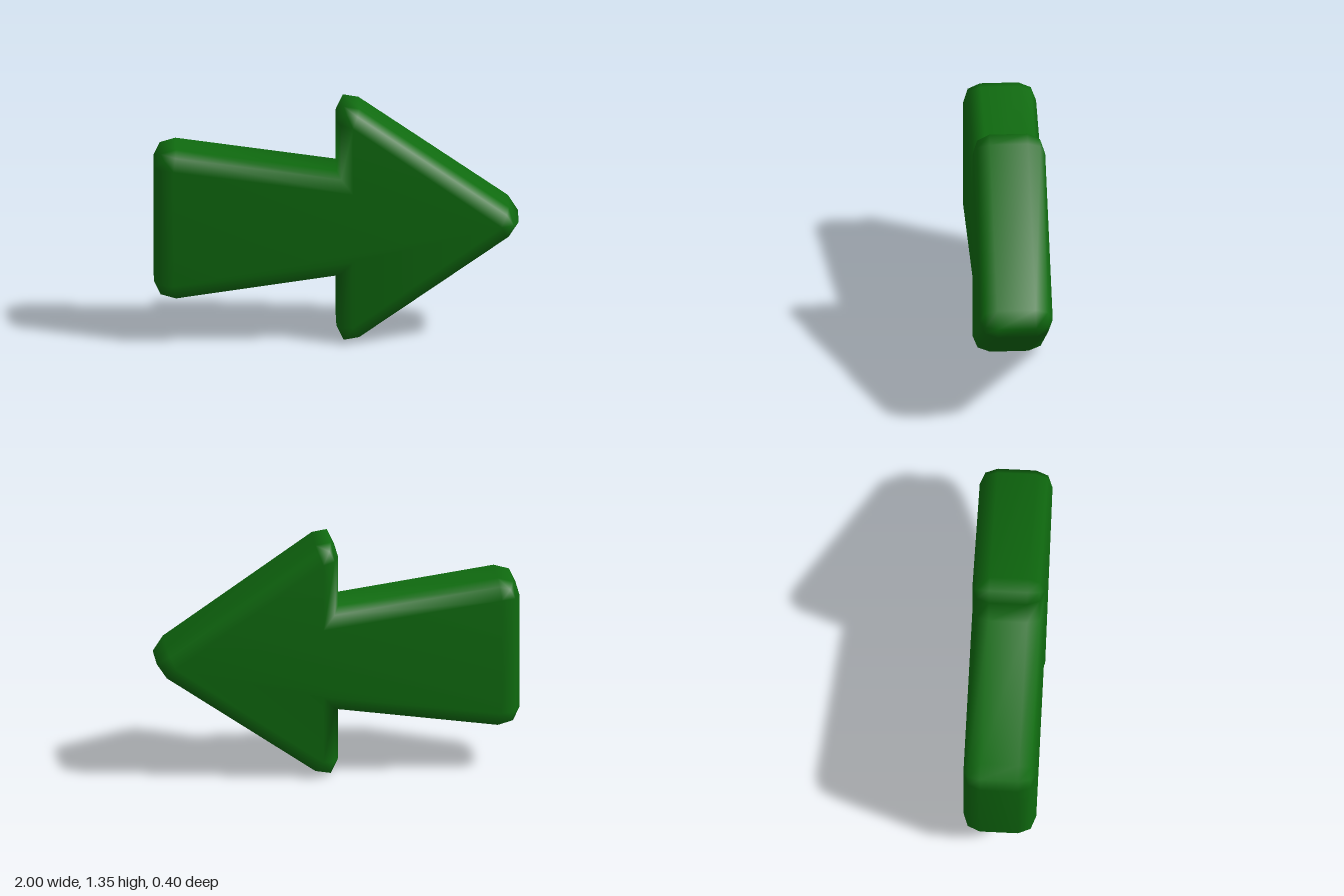
import * as THREE from 'three';

const MID_Y = 0.68;

// Upper half of the outline: flat-face corner, then the rounded rim points around it
const tip = { core: [0.905, 0.68], rim: [[0.945, 0.595], [1, 0.68], [0.945, 0.767]] };
const upper = [
  { core: [0.09, 1.255], rim: [[0.125, 1.34], [0.04, 1.355], [0, 1.27]] },    // barb
  { core: [0.09, 0.875], rim: [[0, 0.983]] },                                  // notch
  { core: [-0.895, 1.01], rim: [[-0.88, 1.11], [-0.965, 1.085], [-1, 1.01]] }, // tail
];

const flip = ([x, y]) => [x, 2 * MID_Y - y];
const mirrored = ({ core, rim }) => ({ core: flip(core), rim: rim.map(flip).reverse() });

function arrowGeometry() {
  const corners = [tip, ...upper, ...upper.map(mirrored).reverse()];
  const rim = corners.flatMap((c, id) => c.rim.map((p) => ({ p, core: c.core, id })));
  const n = rim.length;
  const positions = [];
  const rings = [];

  // Cross-sections from front to back; the end sections collapse to the flat-face corners
  const sections = [[0.2, 0], [0.173, 0.72], [0.105, 1], [-0.105, 1], [-0.173, 0.72], [-0.2, 0]];
  for (const [z, t] of sections) {
    const start = positions.length / 3;
    if (t === 0) {
      corners.forEach(({ core }) => positions.push(core[0], core[1], z));
      rings.push(rim.map((r) => start + r.id));
    } else {
      rim.forEach(({ p, core }) => positions.push(
        core[0] + (p[0] - core[0]) * t, core[1] + (p[1] - core[1]) * t, z));
      rings.push(rim.map((r, i) => start + i));
    }
  }

  const index = [];
  const tri = (a, b, c) => { if (a !== b && b !== c && a !== c) index.push(a, b, c); };
  // Rounded edges and side walls
  for (let k = 0; k < rings.length - 1; k++) {
    for (let i = 0; i < n; i++) {
      const j = (i + 1) % n;
      const [f, b] = [rings[k], rings[k + 1]];
      tri(f[i], b[i], b[j]);
      tri(f[i], b[j], f[j]);
    }
  }
  // Flat front and back faces
  const back = positions.length / 3 - corners.length;
  const contour = corners.map(({ core }) => new THREE.Vector2(...core));
  for (const [a, b, c] of THREE.ShapeUtils.triangulateShape(contour, [])) {
    tri(a, b, c);
    tri(back + a, back + c, back + b);
  }

  const geometry = new THREE.BufferGeometry();
  geometry.setAttribute('position', new THREE.Float32BufferAttribute(positions, 3));
  geometry.setIndex(index);
  geometry.computeVertexNormals();
  return geometry;
}

export function createModel() {
  const green = new THREE.MeshStandardMaterial({ color: 0x0f6a0f });
  green.name = 'green';
  const arrow = new THREE.Mesh(arrowGeometry(), green);
  arrow.name = 'arrow';
  const group = new THREE.Group();
  group.name = 'arrowSign';
  group.add(arrow);
  return group;
}
